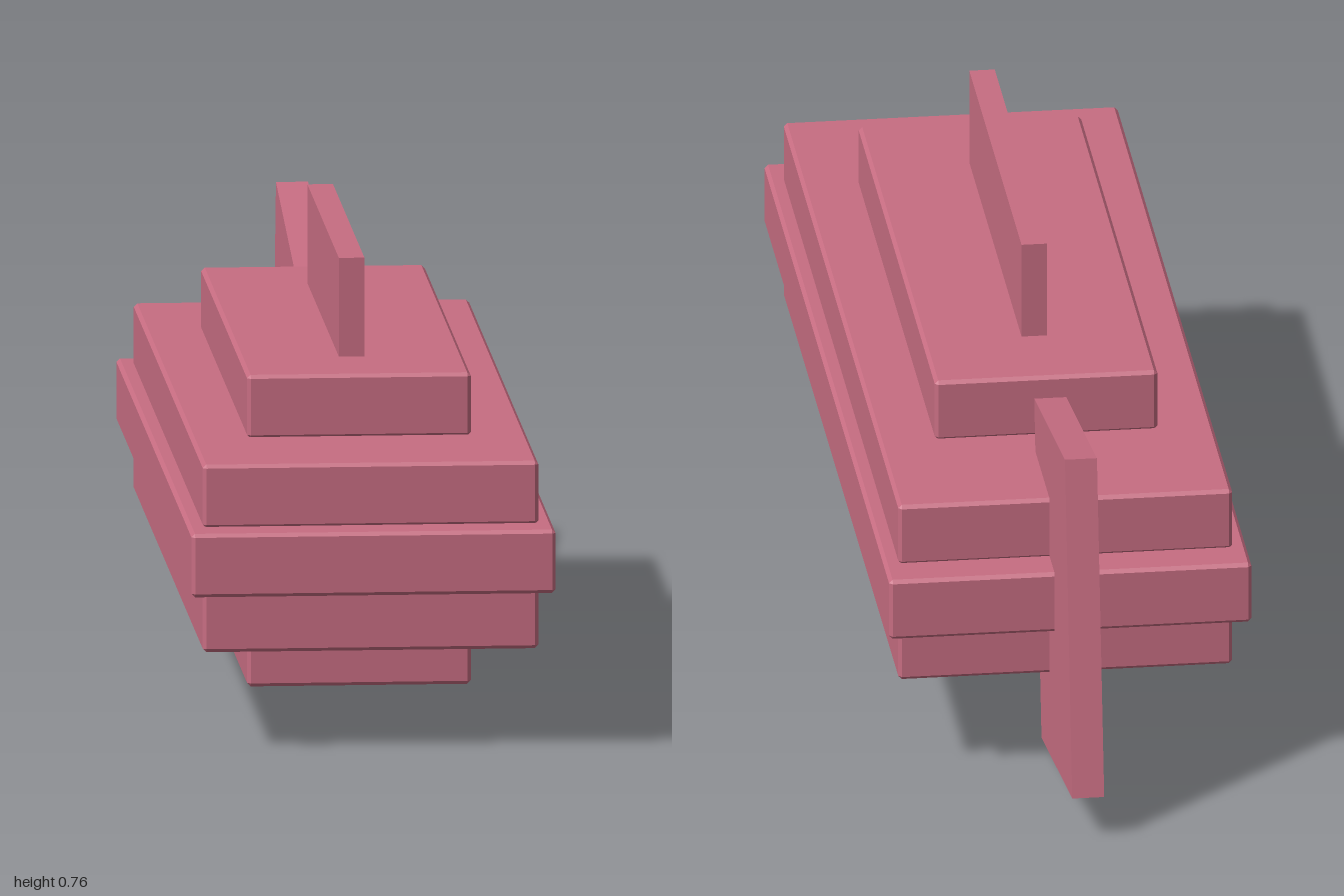
import * as THREE from 'three';
import { ConvexGeometry } from 'three/addons/geometries/ConvexGeometry.js';

// Box with flat chamfers on every edge: each corner becomes three points.
function chamferedBox(w, h, d, c) {
  const points = [];
  for (const sx of [-1, 1]) for (const sy of [-1, 1]) for (const sz of [-1, 1]) {
    const x = w / 2, y = h / 2, z = d / 2;
    points.push(
      new THREE.Vector3(sx * x, sy * (y - c), sz * (z - c)),
      new THREE.Vector3(sx * (x - c), sy * y, sz * (z - c)),
      new THREE.Vector3(sx * (x - c), sy * (y - c), sz * z)
    );
  }
  return new ConvexGeometry(points);
}

export function createModel() {
  const model = new THREE.Group();
  model.name = 'layeredFish';
  const rose = new THREE.MeshStandardMaterial({ color: 0xc76d82 });
  rose.name = 'rose';

  function add(name, geometry, x, y, z) {
    const mesh = new THREE.Mesh(geometry, rose);
    mesh.name = name;
    mesh.position.set(x, y, z);
    model.add(mesh);
    return mesh;
  }

  // Body: five stacked slabs, mirrored above and below the widest one
  const slabSizes = [[0.612, 1.754], [0.564, 1.614], [0.376, 1.076]];
  const step = 0.1055, middleY = 0.328, bodyZ = 0.123;
  for (let i = -2; i <= 2; i++) {
    const [width, length] = slabSizes[Math.abs(i)];
    add('bodySlab' + (i + 3), chamferedBox(width, 0.108, length, 0.006), 0, middleY + i * step, bodyZ);
  }

  // Upright fin along the top
  add('topFin', new THREE.BoxGeometry(0.043, 0.181, 0.731), 0, 0.6705, 0.121);

  // Tilted tail plate set into the rear
  const tail = add('tailFin', new THREE.BoxGeometry(0.054, 0.585, 0.437), 0, 0.327, -0.734);
  tail.rotation.x = THREE.MathUtils.degToRad(10);

  return model;
}
